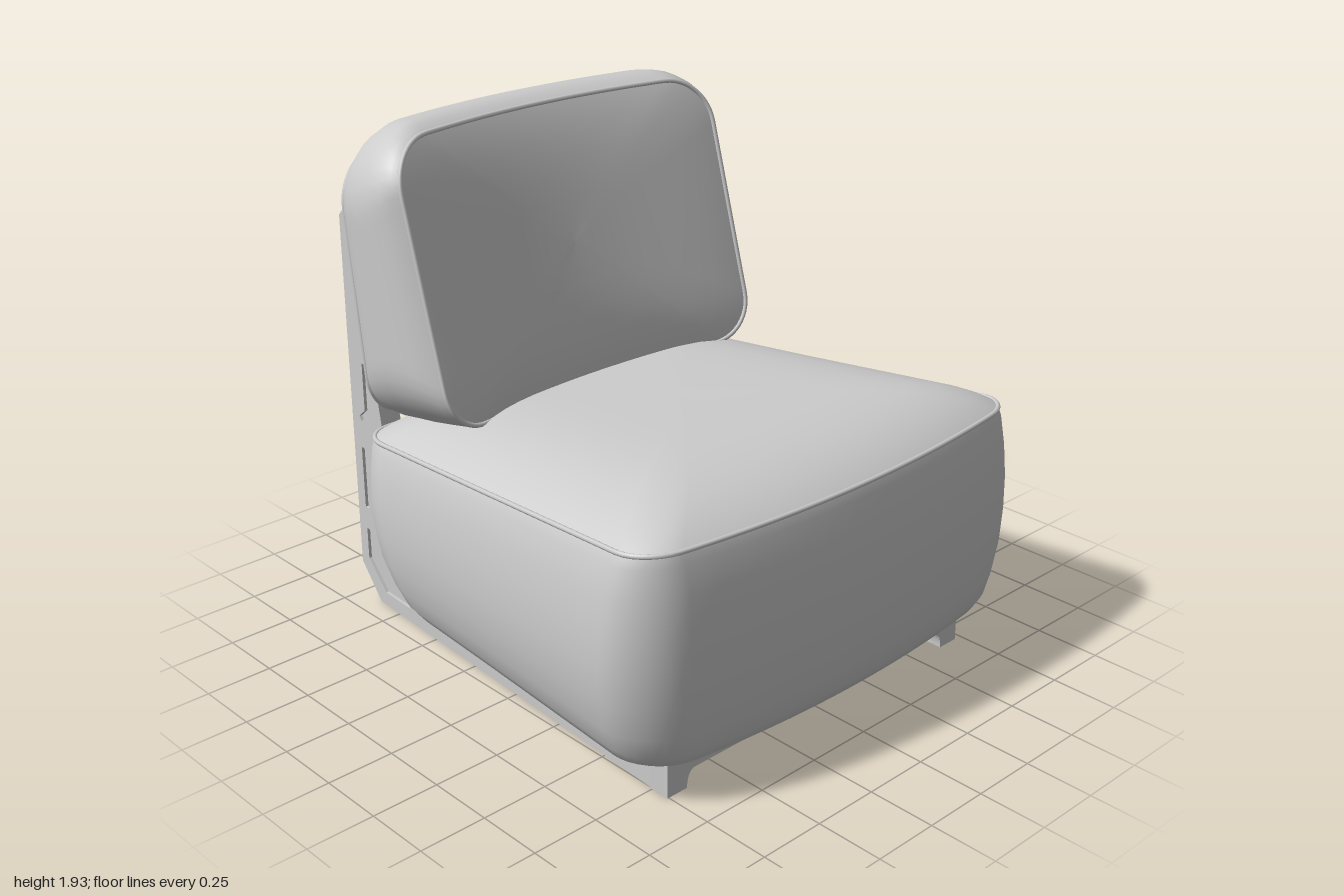
import * as THREE from 'three';

const mat = new THREE.MeshStandardMaterial({ color: 0xcccccc, roughness: 0.8 });

function addMesh(parent, geometry, name) {
  const mesh = new THREE.Mesh(geometry, mat);
  mesh.name = name;
  parent.add(mesh);
  return mesh;
}

// Rounded rectangle, counter-clockwise, with the sides subdivided so they can bend
function ring({ hw, v0, v1, r, s = 1 }) {
  const SIDE = 14, CORNER = 9, pts = [];
  const cv = (v0 + v1) / 2, hh = (v1 - v0) / 2;
  const corners = [[1, 1], [-1, 1], [-1, -1], [1, -1]].map(([a, b]) => [a * (hw - r), b * (hh - r)]);
  const at = (k, ang) => [corners[k][0] + r * Math.cos(ang), corners[k][1] + r * Math.sin(ang)];
  for (let k = 0; k < 4; k++) {
    for (let i = 0; i <= CORNER; i++) pts.push(at(k, (k + i / CORNER) * Math.PI / 2));
    const a = at(k, (k + 1) * Math.PI / 2), b = at((k + 1) % 4, (k + 1) * Math.PI / 2);
    for (let i = 1; i < SIDE; i++) {
      const f = i / SIDE;
      pts.push([a[0] + (b[0] - a[0]) * f, a[1] + (b[1] - a[1]) * f]);
    }
  }
  return pts.map(([u, v]) => [u * s, cv + v * s]);
}

// Skin through a stack of rings; map turns (u, v, depth) into a point
function loft(layers, map) {
  const pos = [], idx = [];
  let n = 0;
  layers.forEach((layer) => {
    const pts = ring(layer);
    n = pts.length;
    pts.forEach(([u, v]) => pos.push(...map(u, v, layer.d)));
  });
  for (let i = 0; i < layers.length - 1; i++) {
    for (let j = 0; j < n; j++) {
      const a = i * n + j, b = i * n + (j + 1) % n, c = a + n, d = b + n;
      idx.push(a, c, b, b, c, d);
    }
  }
  const g = new THREE.BufferGeometry();
  g.setAttribute('position', new THREE.Float32BufferAttribute(pos, 3));
  g.setIndex(idx);
  g.computeVertexNormals();
  return g;
}

// Bulging face inside a seam ring, from its centre out to the seam
function dome(seam, height, power) {
  const out = [];
  for (let i = 0; i <= 10; i++) {
    const s = Math.sin(i / 10 * Math.PI / 2);
    out.push({ ...seam, s, d: seam.d + height * (1 - s ** power) });
  }
  return out;
}

function piping(layer, map) {
  const pts = ring(layer).map(([u, v]) => new THREE.Vector3(...map(u, v, layer.d)));
  return new THREE.TubeGeometry(new THREE.CatmullRomCurve3(pts, true), 220, 0.009, 8, true);
}

const layer = ([hw, v0, v1, r, d]) => ({ hw, v0, v1, r, d });

function buildSeat() {
  const seat = new THREE.Group();
  seat.name = 'seat';
  // v is -z; the seam plane slopes to the back, the plan tapers, the front bows
  const map = (u, v, t) => {
    const seamY = 0.838 - 0.0875 * v;
    const y = t <= 1 ? 0.12 + t * (seamY - 0.12) : seamY + t - 1;
    const x = u * (1 - 0.085 * (0.6 + v));
    const z = -v - 0.07 * (x / 0.8) ** 2 * Math.max(0, -v);
    return [x, y, z];
  };
  const body = [
    [0.875, -0.95, 0.775, 0.14, 1], [0.895, -0.965, 0.785, 0.16, 0.95],
    [0.92, -0.985, 0.79, 0.19, 0.82], [0.935, -0.996, 0.785, 0.2, 0.66],
    [0.94, -1.0, 0.768, 0.21, 0.5], [0.932, -0.996, 0.74, 0.21, 0.34],
    [0.91, -0.985, 0.7, 0.21, 0.2], [0.885, -0.968, 0.655, 0.2, 0.1],
    [0.855, -0.94, 0.61, 0.19, 0.04], [0.825, -0.91, 0.57, 0.17, 0.012],
    [0.79, -0.87, 0.52, 0.15, 0],
  ].map(layer);
  const layers = [...dome(body[0], 0.135, 5), ...body, { ...body.at(-1) }, { ...body.at(-1), s: 0 }];
  addMesh(seat, loft(layers, map), 'seatCushion');
  addMesh(seat, piping(body[0], map), 'seatPiping');
  return seat;
}

function buildBackrest() {
  const back = new THREE.Group();
  back.name = 'backrest';
  // Depth runs from the leaning front plane to the steeper rear plane; the sides wrap forward
  const map = (u, v, d) => {
    const z = (1 - d) * (-0.34 - 0.28 * v) + d * (-0.83 - 0.115 * v);
    const y = (1 - d) * (0.92 + 0.98 * v) + d * (0.83 + 0.95 * v);
    return [u, y, z + 0.1 * (u / 0.72) ** 2];
  };
  const body = [
    [0.73, 0, 1, 0.17, 0], [0.755, -0.01, 1.03, 0.2, 0.08],
    [0.78, -0.015, 1.055, 0.24, 0.2], [0.797, -0.02, 1.07, 0.27, 0.38],
    [0.8, -0.02, 1.075, 0.28, 0.56], [0.785, -0.02, 1.06, 0.26, 0.76],
    [0.755, -0.01, 1.03, 0.22, 0.91], [0.725, 0, 1, 0.18, 1],
  ].map(layer);
  const layers = [...dome(body[0], -0.1, 4), ...body, ...dome(body.at(-1), 0.04, 4).reverse()];
  addMesh(back, loft(layers, map), 'backCushion');
  addMesh(back, piping(body[0], map), 'frontPiping');
  addMesh(back, piping(body.at(-1), map), 'rearPiping');
  back.position.x = -0.022;
  return back;
}

// Side frame outlines as (z, y)
const upright = [
  [-0.88, 0], [-1, 0.13], [-1, 1.53], [-0.98, 1.55], [-0.955, 1.55], [-0.935, 1.52],
  [-0.8, 0.78], [-0.76, 0.46], [-0.735, 0.34], [-0.69, 0.24], [-0.63, 0.165], [-0.56, 0.125],
];
const coreOutline = [[0.82, 0], ...upright, [0.82, 0.125]];
const skinOutline = [[0.82, 0], ...upright, [-0.42, 0.125], [-0.4, 0.07], [0.53, 0.07], [0.55, 0.125], [0.82, 0.125]];
const recesses = [
  [[-0.64, 0.12], [-0.79, 0.29], [-0.95, 0.29], [-0.95, 0.16], [-0.84, 0.055], [-0.68, 0.055]],
  [[-0.925, 0.38], [-0.925, 0.63], [-0.95, 0.63], [-0.95, 0.38]],
  [[-0.887, 0.78], [-0.887, 0.98], [-0.912, 0.98], [-0.912, 0.79], [-0.952, 0.757], [-0.94, 0.74]],
];

function plate(outline, holes, x0, x1, side) {
  const toVec = ([z, y]) => new THREE.Vector2(-z, y);
  const shape = new THREE.Shape(outline.map(toVec));
  shape.holes = holes.map((h) => new THREE.Path(h.map(toVec)));
  const g = new THREE.ExtrudeGeometry(shape, { depth: x1 - x0, bevelEnabled: false });
  g.rotateY(Math.PI / 2);
  // Splay the frame so it widens to the front
  const p = g.attributes.position;
  for (let i = 0; i < p.count; i++) p.setX(i, p.getX(i) + x0 + side * (0.65 + 0.055 * p.getZ(i)));
  g.computeVertexNormals();
  return g;
}

function buildFrame() {
  const frame = new THREE.Group();
  frame.name = 'frame';
  for (const [side, label] of [[1, 'left'], [-1, 'right']]) {
    const core = side > 0 ? [-0.043, 0.031] : [-0.031, 0.043];
    const skin = side > 0 ? [0.031, 0.043] : [-0.043, -0.031];
    addMesh(frame, plate(coreOutline, [], ...core, side), label + 'SideFrame');
    addMesh(frame, plate(skinOutline, recesses, ...skin, side), label + 'RecessedFace');
  }

  // Front rail with feet and filleted inner corners
  const s = new THREE.Shape();
  s.moveTo(-0.737, 0);
  s.lineTo(-0.65, 0);
  s.quadraticCurveTo(-0.65, 0.07, -0.6, 0.07);
  s.lineTo(0.6, 0.07);
  s.quadraticCurveTo(0.65, 0.07, 0.65, 0);
  s.lineTo(0.737, 0);
  s.lineTo(0.737, 0.127);
  s.lineTo(-0.737, 0.127);
  const rail = new THREE.ExtrudeGeometry(s, { depth: 0.085, bevelEnabled: false, curveSegments: 8 });
  addMesh(frame, rail, 'frontRail').position.z = 0.738;

  // Slat holding the backrest
  const slat = addMesh(frame, new THREE.BoxGeometry(1.17, 0.25, 0.035), 'backSlat');
  slat.position.set(0, 1.24, -0.925);
  slat.rotation.x = -0.125;

  frame.position.x = -0.018;
  return frame;
}

export function createModel() {
  const model = new THREE.Group();
  model.name = 'loungeChair';
  model.add(buildSeat(), buildBackrest(), buildFrame());
  return model;
}
